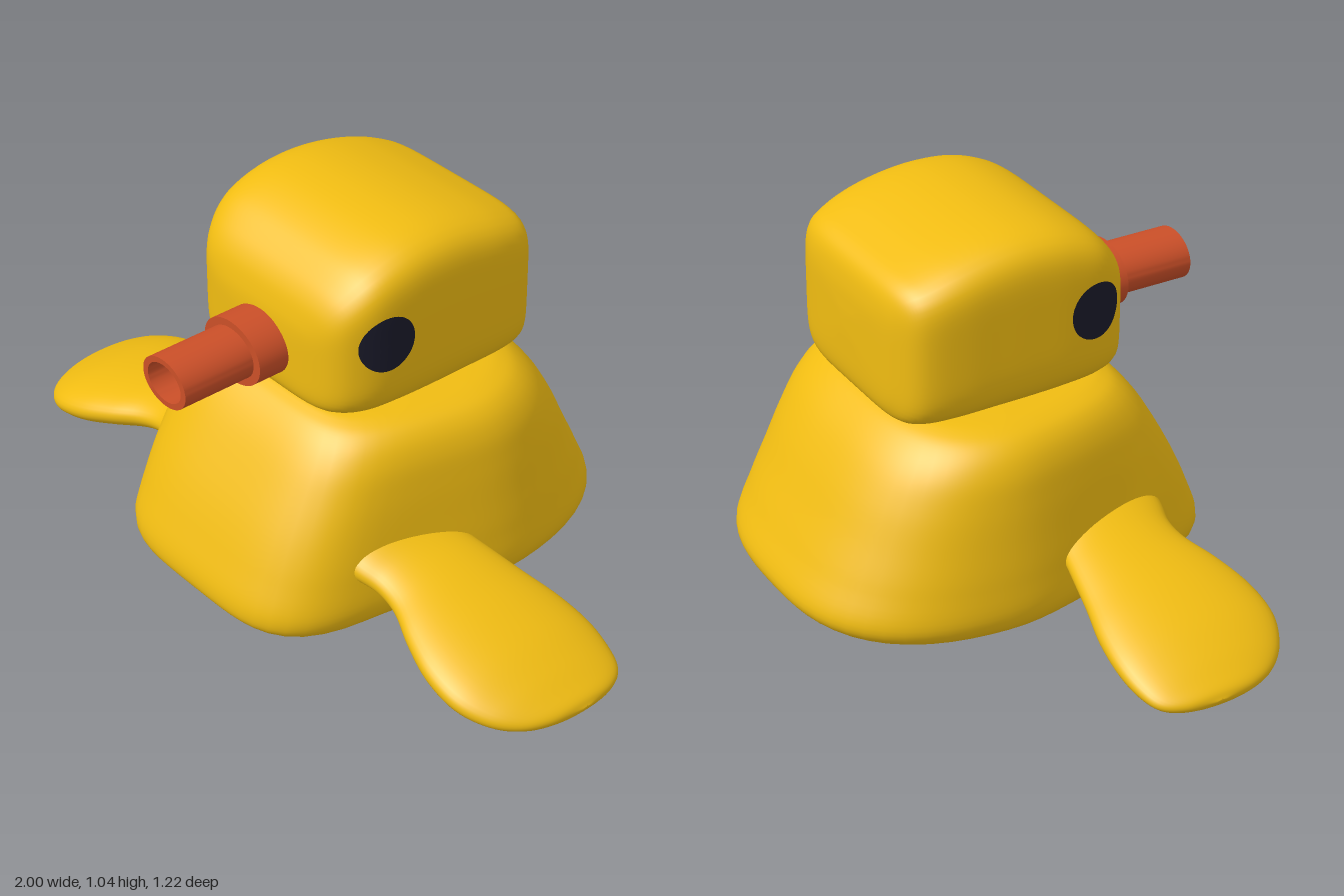
import * as THREE from 'three';
import { toCreasedNormals } from 'three/addons/utils/BufferGeometryUtils.js';

const yellow = new THREE.MeshStandardMaterial({ color: 0xf0bc12 });
const orange = new THREE.MeshStandardMaterial({ color: 0xcb4f28 });
const dark = new THREE.MeshStandardMaterial({ color: 0x1a1a2a });

// Smooth skin over stations [s, u0, u1, v0, v1]; each section is a superellipse filling its u and v ranges.
// power(cos) gives the squareness; place(u, v, s) puts the point in space; flip keeps mirrored skins facing out.
function loft(stations, power, place, flip = 1, rings = 72, sides = 72) {
  const curve = (a, b, c) => new THREE.CatmullRomCurve3(
    stations.map((p) => new THREE.Vector3(p[a], p[b], p[c])), false, 'catmullrom', 0.5);
  const uCurve = curve(0, 1, 2), vCurve = curve(0, 3, 4);
  const pos = [], index = [];
  for (let i = 0; i <= rings; i++) {
    const p = uCurve.getPoint(i / rings), q = vCurve.getPoint(i / rings);
    for (let j = 0; j < sides; j++) {
      const a = (j / sides) * Math.PI * 2;
      const c = Math.cos(a), s = Math.sin(a) * flip, n = power(c);
      const r = Math.pow(Math.abs(c) ** n + Math.abs(s) ** n, -1 / n);
      const u = (p.y + p.z) / 2 + ((p.z - p.y) / 2) * r * c;
      const v = (q.y + q.z) / 2 + ((q.z - q.y) / 2) * r * s;
      pos.push(...place(u, v, p.x));
      if (i < rings) {
        const k = i * sides + j, l = i * sides + ((j + 1) % sides);
        index.push(k, l, l + sides, k, l + sides, k + sides);
      }
    }
  }
  // close both ends
  for (let j = 1; j < sides - 1; j++) {
    const e = rings * sides;
    index.push(0, j + 1, j, e, e + j, e + j + 1);
  }
  const g = new THREE.BufferGeometry();
  g.setAttribute('position', new THREE.Float32BufferAttribute(pos, 3));
  g.setIndex(index);
  g.computeVertexNormals();
  return g;
}

export function createModel() {
  const model = new THREE.Group();
  const add = (name, geometry, material) => {
    const mesh = new THREE.Mesh(geometry, material);
    mesh.name = name;
    model.add(mesh);
    return mesh;
  };

  // Body: stations go up, narrower and squarer towards the front
  const body = [
    [0.002, -0.06, 0.0, 0.03], [0.008, -0.28, 0.22, 0.22], [0.02, -0.44, 0.45, 0.37],
    [0.045, -0.56, 0.54, 0.455], [0.1, -0.607, 0.556, 0.493], [0.2, -0.565, 0.52, 0.488],
    [0.3, -0.515, 0.475, 0.475], [0.4, -0.465, 0.42, 0.46], [0.48, -0.415, 0.37, 0.442],
    [0.535, -0.365, 0.325, 0.41], [0.565, -0.32, 0.285, 0.36], [0.577, -0.26, 0.23, 0.27],
    [0.58, -0.06, 0.03, 0.04],
  ].map(([y, back, front, w]) => [y, back, front, -w, w]);
  add('body', loft(body, (c) => (c > 0 ? 4 : 2.8),
    (z, x, y) => [x * (1 - 0.15 * THREE.MathUtils.smoothstep(z, -0.15, 0.3)), y, z]), yellow);

  // Head: stations go from back to front as [z, half width, bottom, top]
  const head = [
    [-0.366, 0.03, 0.74, 0.8], [-0.362, 0.17, 0.64, 0.87], [-0.35, 0.235, 0.595, 0.925],
    [-0.325, 0.285, 0.577, 0.957], [-0.28, 0.312, 0.573, 0.98], [-0.2, 0.325, 0.573, 1.01],
    [-0.1, 0.327, 0.573, 1.034], [0, 0.327, 0.573, 1.042], [0.1, 0.325, 0.576, 1.03],
    [0.19, 0.315, 0.58, 0.995], [0.25, 0.288, 0.586, 0.945], [0.285, 0.25, 0.596, 0.895],
    [0.303, 0.195, 0.615, 0.84], [0.31, 0.12, 0.65, 0.79], [0.311, 0.02, 0.71, 0.73],
  ].map(([z, w, bottom, top]) => [z, -w, w, bottom, top]);
  const headMesh = add('head', loft(head, () => 5.5, (x, y, z) => [x, y, z], 1, 84, 96), yellow);

  // Wings: stations go outwards as [x, bottom, top, back, front]
  const wing = [
    [0.33, 0.14, 0.32, 0.0, 0.35], [0.4, 0.16, 0.285, 0.01, 0.335], [0.46, 0.148, 0.265, 0.0, 0.32],
    [0.53, 0.128, 0.25, -0.015, 0.328], [0.62, 0.1, 0.232, -0.035, 0.365], [0.72, 0.067, 0.21, -0.06, 0.393],
    [0.82, 0.045, 0.18, -0.07, 0.393], [0.9, 0.034, 0.145, -0.06, 0.355], [0.955, 0.038, 0.115, -0.035, 0.295],
    [0.987, 0.052, 0.095, 0.02, 0.22], [1.0, 0.07, 0.076, 0.1, 0.13],
  ];
  const ray = new THREE.Raycaster();
  for (const [side, k] of [['left', 1], ['right', -1]]) {
    add(side + 'Wing', loft(wing, () => 2.1, (y, z, x) => [k * x, y, z], k, 60, 48), yellow);

    // Eye: a disc laid onto the side of the head
    const eye = new THREE.RingGeometry(0.001, 1, 40, 6);
    const p = eye.attributes.position;
    for (let i = 0; i < p.count; i++) {
      const y = 0.81 + 0.077 * p.getY(i), z = 0.17 - k * 0.076 * p.getX(i);
      ray.set(new THREE.Vector3(k, y, z), new THREE.Vector3(-k, 0, 0));
      const hit = ray.intersectObject(headMesh)[0];
      p.setXYZ(i, hit ? hit.point.x + k * 0.004 : k * 0.3, y, z);
    }
    eye.computeVertexNormals();
    add(side + 'Eye', eye, dark);
  }

  // Beak: oval collar and hollow tube pointing forwards
  const profile = [[0.11, 0.2], [0.11, 0.4], [0.085, 0.4], [0.085, 0.61], [0.066, 0.61], [0.066, 0.41], [0, 0.41]];
  const beak = new THREE.LatheGeometry(profile.map(([r, z]) => new THREE.Vector2(r, z)), 48);
  beak.rotateX(Math.PI / 2).scale(1, 0.79, 1).translate(-0.005, 0.722, 0);
  add('beak', toCreasedNormals(beak, 0.6), orange);

  return model;
}
